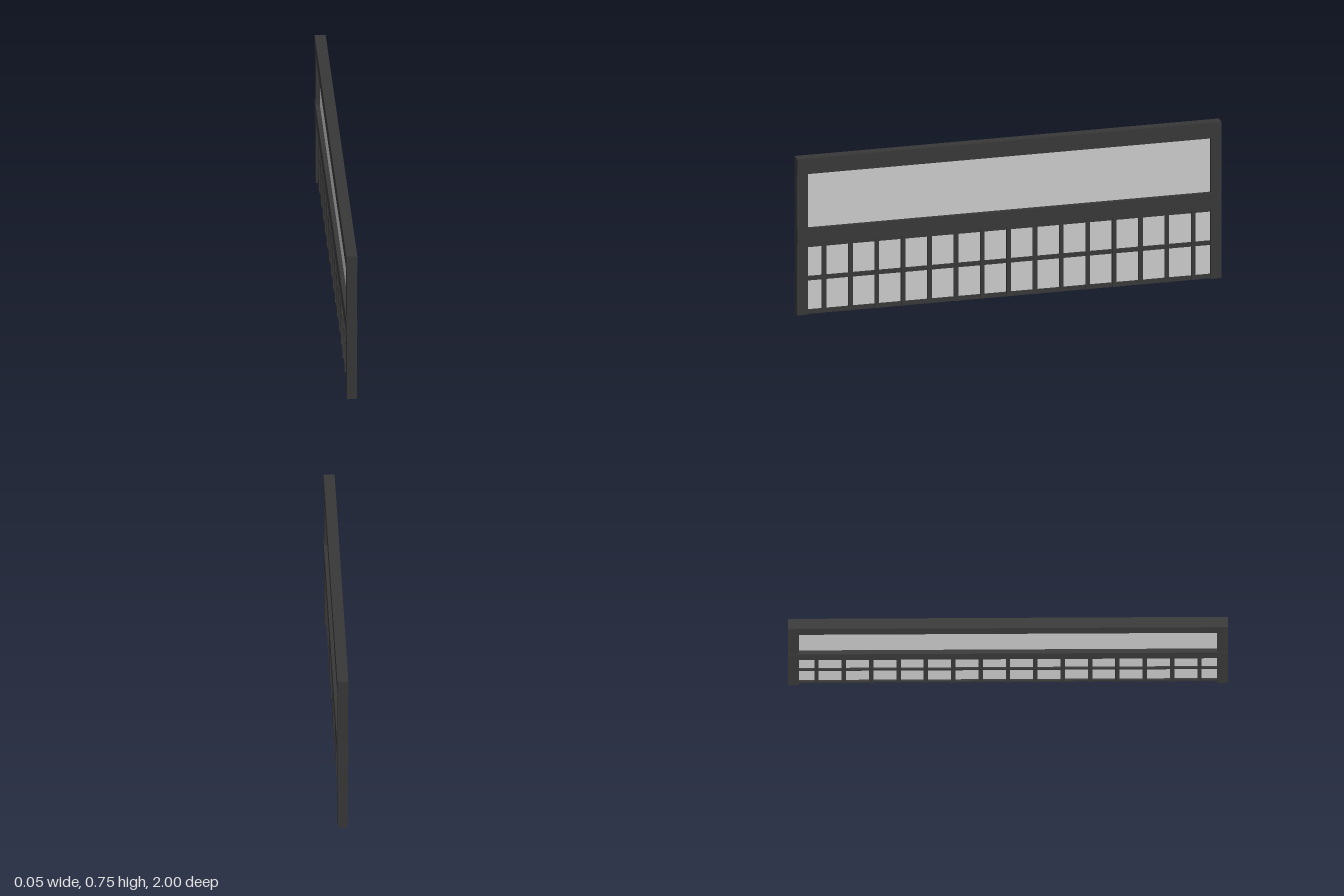
import * as THREE from 'three';

export function createModel() {
  const model = new THREE.Group();
  model.name = 'railingPanel';
  const dark = new THREE.MeshStandardMaterial({ color: 0x383838 });
  const pane = new THREE.MeshStandardMaterial({ color: 0xcccccc });

  // Box spanning y0..y1 and z0..z1, centred on x = 0
  function slab(name, depth, y0, y1, z0, z1, material = dark) {
    const mesh = new THREE.Mesh(new THREE.BoxGeometry(depth, y1 - y0, z1 - z0), material);
    mesh.position.set(0, (y0 + y1) / 2, (z0 + z1) / 2);
    mesh.name = name;
    model.add(mesh);
  }

  // Heavy frame: two rails wrapping two end posts
  slab('topRail', 0.05, 0.675, 0.75, -1, 1);
  slab('middleRail', 0.05, 0.338, 0.413, -1, 1);
  for (const [y0, y1, part] of [[0, 0.338, 'lower'], [0.413, 0.675, 'upper']]) {
    slab(part + 'FrontPost', 0.045, y0, y1, 0.95, 1);
    slab(part + 'BackPost', 0.045, y0, y1, -1, -0.95);
  }

  // Thin infill panes
  slab('upperPane', 0.01, 0.413, 0.675, -0.95, 0.95, pane);
  slab('lowerPane', 0.01, 0.005, 0.338, -0.95, 0.95, pane);

  // Lattice over the lower pane
  for (const y of [0.01, 0.17, 0.33]) {
    slab('latticeRail', 0.025, y - 0.01, Math.min(y + 0.01, 0.338), -0.95, 0.95);
  }
  for (let i = -7; i <= 7; i++) {
    const z = i * 0.1243;
    slab('latticeBar', 0.03, 0, 0.338, z - 0.01, z + 0.01);
  }
  return model;
}
